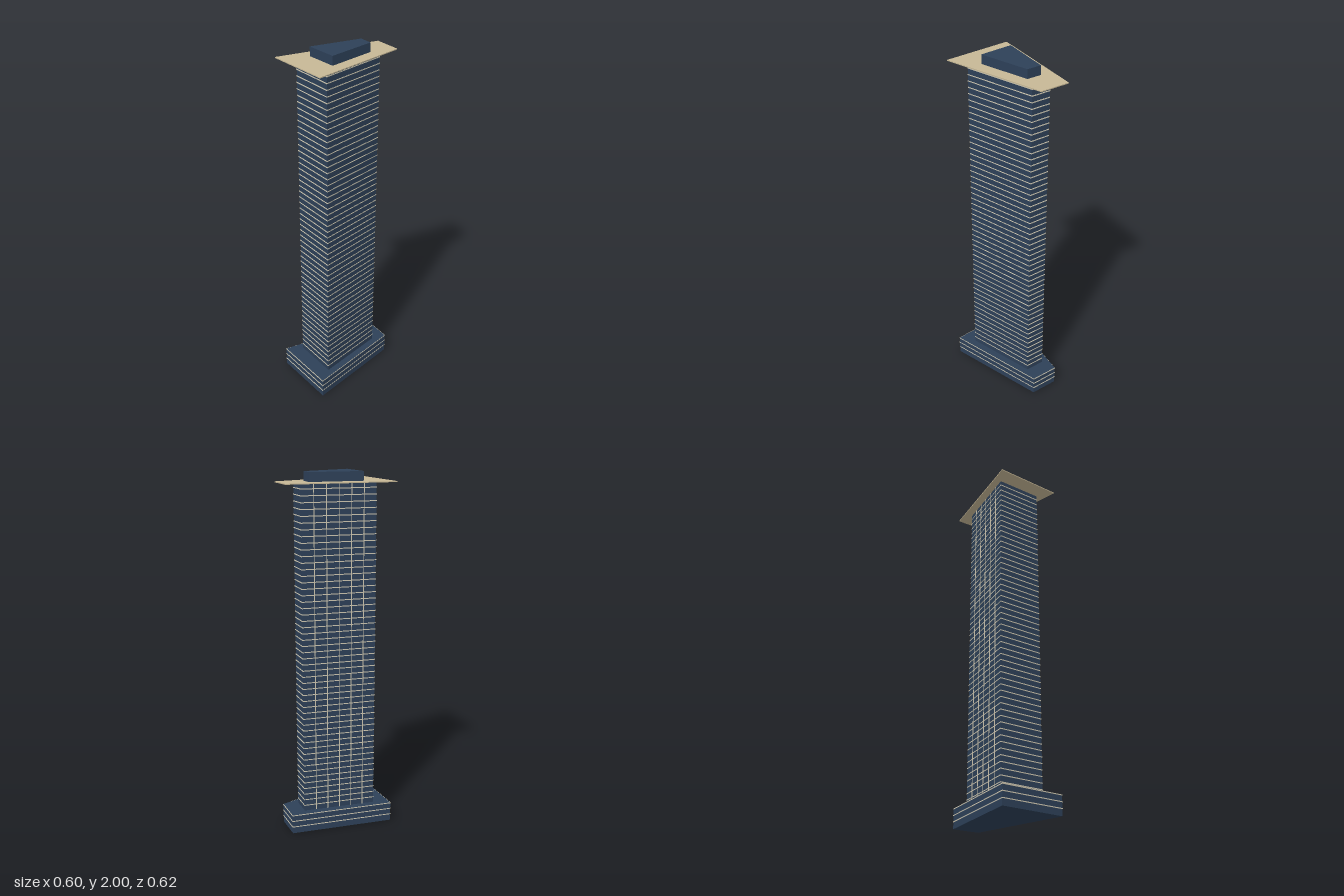
import * as THREE from 'three';

// Plan outlines as [x, z] corners: west, south, east, north
const PODIUM = [[-0.291, 0.041], [-0.022, 0.304], [0.287, -0.186], [0.18, -0.301]];
const TOWER = [[-0.193, 0.016], [-0.006, 0.203], [0.213, -0.141], [0.139, -0.221]];
const ROOF = [[-0.299, 0.041], [-0.022, 0.309], [0.298, -0.191], [0.185, -0.312]];
const CROWN = [[-0.127, 0], [0.01, 0.131], [0.167, -0.113], [0.112, -0.173]];

const FLOOR = 0.0348;
const PODIUM_TOP = 0.111;
const ROOF_Y = 1.945;

const glass = new THREE.MeshStandardMaterial({ color: 0x2d4058 });
const trim = new THREE.MeshStandardMaterial({ color: 0xcfc8b2 });
const sand = new THREE.MeshStandardMaterial({ color: 0xc6b795 });

// Upright prism over a plan outline, optionally scaled about its centre
function prism(name, plan, y0, y1, material, scale = 1) {
  const cx = plan.reduce((s, p) => s + p[0], 0) / plan.length;
  const cz = plan.reduce((s, p) => s + p[1], 0) / plan.length;
  const shape = new THREE.Shape(plan.map(([x, z]) =>
    new THREE.Vector2(cx + (x - cx) * scale, -(cz + (z - cz) * scale))));
  const geometry = new THREE.ExtrudeGeometry(shape, { depth: y1 - y0, bevelEnabled: false });
  geometry.rotateX(-Math.PI / 2);
  const mesh = new THREE.Mesh(geometry, material);
  mesh.position.y = y0;
  mesh.name = name;
  return mesh;
}

export function createModel() {
  const model = new THREE.Group();
  model.name = 'skyscraper';

  // Main volumes
  model.add(prism('podium', PODIUM, 0, PODIUM_TOP, glass));
  model.add(prism('towerShaft', TOWER, PODIUM_TOP, ROOF_Y, glass));
  model.add(prism('roofSlab', ROOF, ROOF_Y, 1.95, sand));
  model.add(prism('roofCrown', CROWN, 1.95, 2, glass));

  // Floor plates showing as thin lines round the podium and shaft
  const plates = new THREE.Group();
  plates.name = 'floorPlates';
  for (let k = 1; k <= 55; k++) {
    const y = k * FLOOR + 0.004;
    const low = k <= 3;
    plates.add(prism('floorPlate', low ? PODIUM : TOWER, y - 0.0025, y + 0.0025, trim, low ? 1.007 : 1.01));
  }
  model.add(plates);

  // Upright mullions on the long back face
  const mullions = new THREE.Group();
  mullions.name = 'backMullions';
  const [ax, az] = TOWER[0];
  const [dx, dz] = TOWER[3];
  const height = ROOF_Y - PODIUM_TOP;
  for (let i = 1; i <= 5; i++) {
    const t = i / 6;
    const mullion = new THREE.Mesh(new THREE.BoxGeometry(0.004, height, 0.005), trim);
    mullion.name = 'mullion';
    mullion.position.set(ax + (dx - ax) * t, PODIUM_TOP + height / 2, az + (dz - az) * t);
    mullion.rotation.y = -Math.atan2(dz - az, dx - ax);
    mullions.add(mullion);
  }
  model.add(mullions);

  return model;
}
